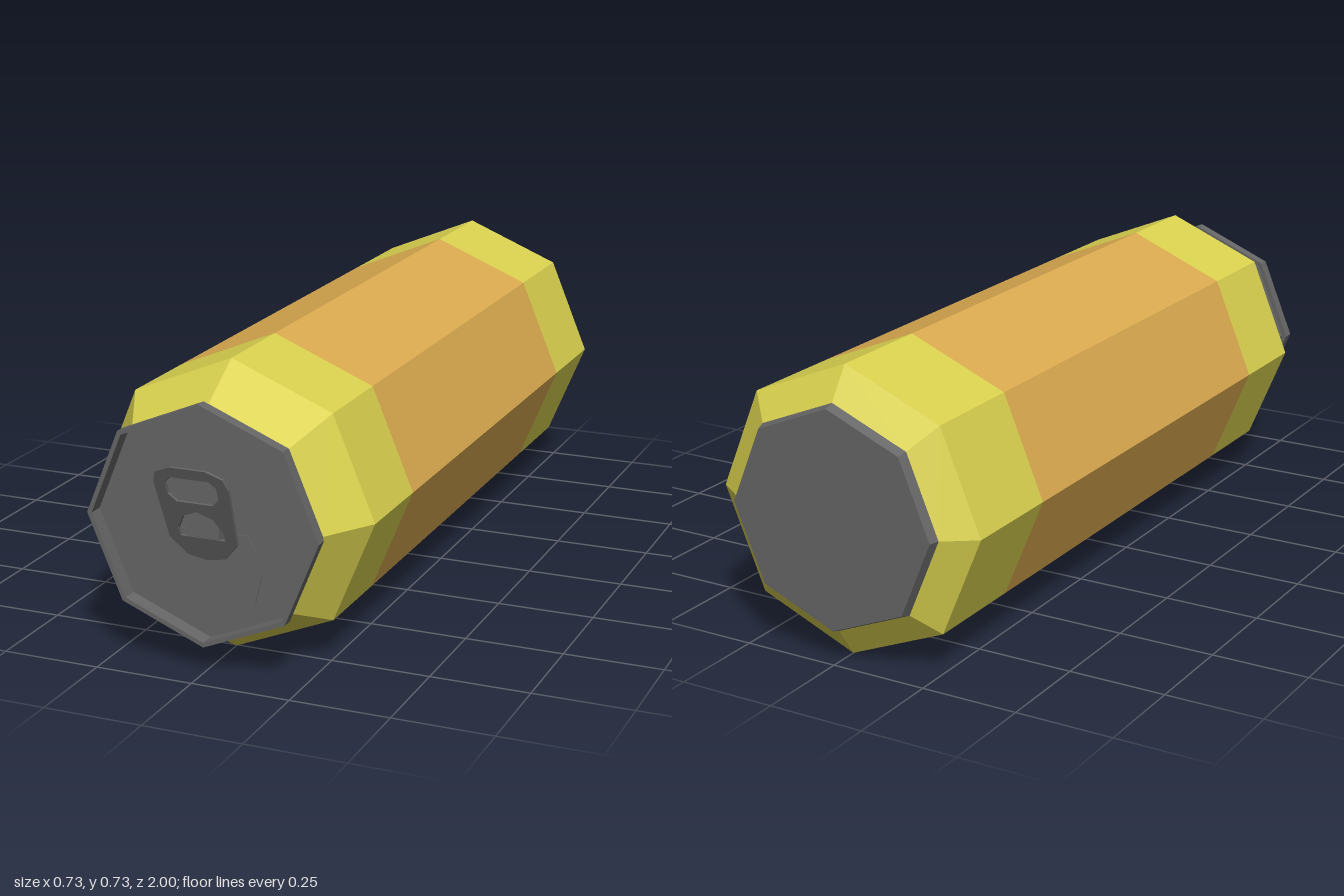
import * as THREE from 'three';

const CENTRE_Y = 0.363;
const LID_Z = 0.895;

function material(name, color) {
  const m = new THREE.MeshStandardMaterial({ color, flatShading: true });
  m.name = name;
  return m;
}

// Eight-sided ring lying along z, from [radius, z] pairs listed back to front
function ring(name, profile, mat) {
  const geometry = new THREE.LatheGeometry(profile.map(([r, z]) => new THREE.Vector2(r, z)), 8);
  geometry.rotateX(Math.PI / 2).translate(0, CENTRE_Y, 0);
  const mesh = new THREE.Mesh(geometry, mat);
  mesh.name = name;
  return mesh;
}

// Closed outline from its right half, listed bottom to top and mirrored in x
function mirrored(half, Type = THREE.Shape) {
  const left = half.filter(([x]) => x > 0).reverse().map(([x, y]) => [-x, y]);
  return new Type([...half, ...left].map(([x, y]) => new THREE.Vector2(x, y)));
}

function plate(name, shape, z, depth, mat) {
  const geometry = new THREE.ExtrudeGeometry(shape, { depth, bevelEnabled: false });
  geometry.translate(0, 0, z);
  const mesh = new THREE.Mesh(geometry, mat);
  mesh.name = name;
  return mesh;
}

export function createModel() {
  const yellow = material('yellow paint', 0xdad24f);
  const orange = material('orange paint', 0xdcab50);
  const metal = material('dark metal', 0x666666);

  const can = new THREE.Group();
  can.name = 'drinkCan';

  // Painted body
  can.add(
    ring('backBand', [[0.284, -0.975], [0.363, -0.92], [0.363, -0.64]], yellow),
    ring('middleBand', [[0.363, -0.64], [0.363, 0.51]], orange),
    ring('frontBand', [[0.363, 0.51], [0.363, 0.755], [0.285, 0.88]], yellow),
  );

  // Metal base, and the lid sunk inside its raised rim
  can.add(
    ring('base', [[0, -1], [0.276, -1], [0.284, -0.975]], metal),
    ring('lid', [
      [0.285, 0.875], [0.285, 0.905], [0.298, 0.905], [0.298, 0.935],
      [0.286, 0.935], [0.286, LID_Z], [0, LID_Z],
    ], metal),
  );

  // Opening panel
  const opening = mirrored([
    [0, 0.118], [0.066, 0.137], [0.12, 0.182], [0.137, 0.25],
    [0.124, 0.305], [0.102, 0.345],
  ]);
  can.add(plate('openingPanel', opening, LID_Z - 0.001, 0.004, metal));

  // Pull tab with a finger hole and a rivet hole, leaning out towards the top
  const tabShape = mirrored([
    [0, 0.272], [0.048, 0.282], [0.087, 0.327], [0.095, 0.48],
    [0.086, 0.508], [0.046, 0.525],
  ]);
  tabShape.holes.push(
    mirrored([[0.046, 0.432], [0.065, 0.452], [0.065, 0.482], [0.05, 0.498]], THREE.Path),
    mirrored([[0.058, 0.335], [0.058, 0.357], [0.038, 0.393], [0, 0.408]], THREE.Path),
  );
  const tab = plate('pullTab', tabShape, -0.009, 0.009, metal);
  const position = tab.geometry.attributes.position;
  for (let i = 0; i < position.count; i++) {
    position.setZ(i, position.getZ(i) + 0.935 + 0.39 * (position.getY(i) - 0.36));
  }
  tab.geometry.computeVertexNormals();
  can.add(tab);

  // Rivet block joining the tab to the lid
  const rivet = mirrored([[0.042, 0.333], [0.042, 0.365], [0.028, 0.39], [0, 0.4]]);
  can.add(plate('rivet', rivet, LID_Z - 0.001, 0.03, metal));

  return can;
}
